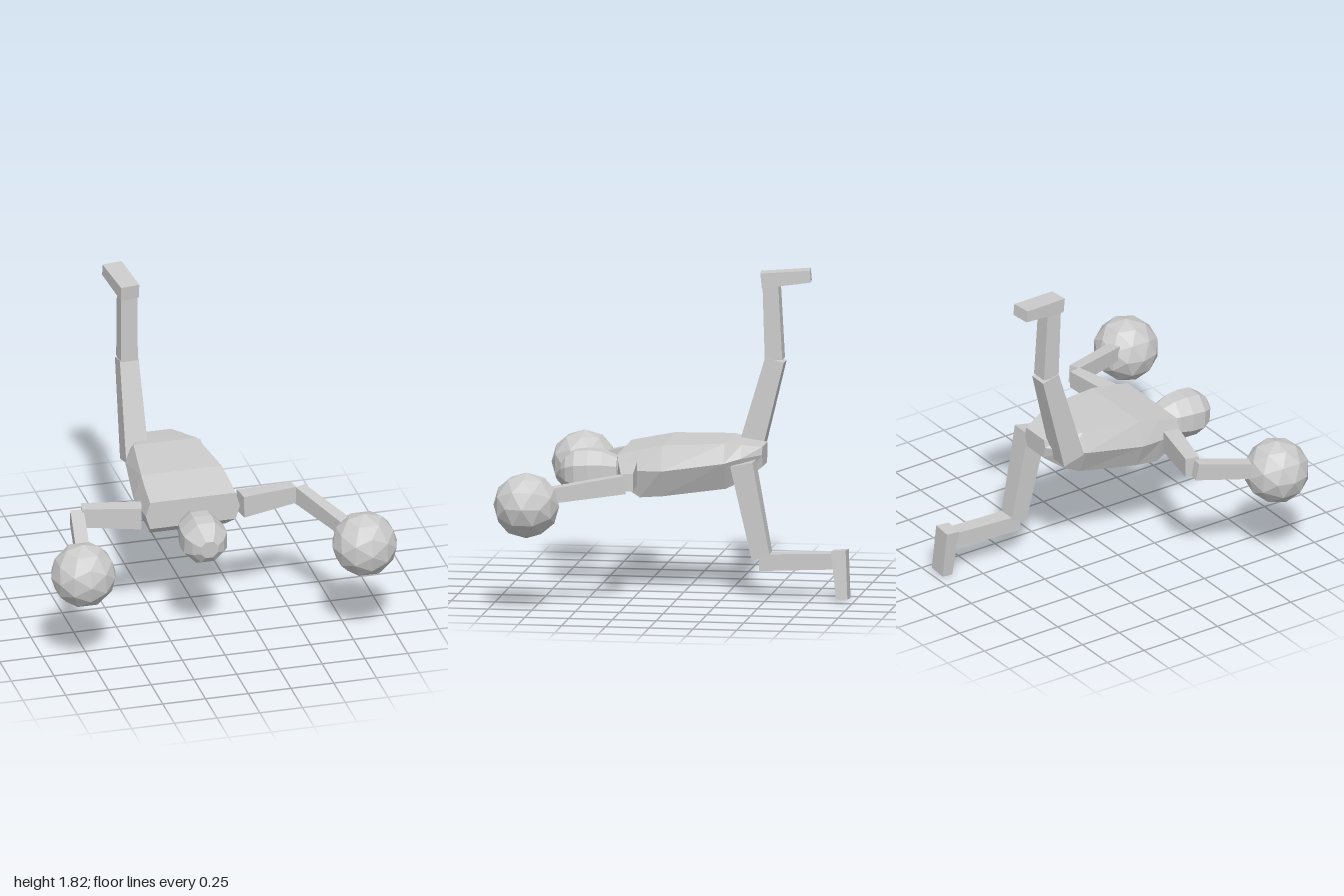
import * as THREE from 'three';

const material = new THREE.MeshStandardMaterial({ color: 0xcccccc, flatShading: true });
const X = [1, 0, 0], Y = [0, 1, 0];

function part(group, name, geometry, position = [0, 0, 0]) {
  const mesh = new THREE.Mesh(geometry, material);
  mesh.name = name;
  mesh.position.set(...position);
  group.add(mesh);
  return mesh;
}

// Tapered box from a to b; each size is [along the side direction, across it]
function limb(group, name, a, b, sizeA, sizeB, sideDir) {
  const start = new THREE.Vector3(...a), end = new THREE.Vector3(...b);
  const axis = end.clone().sub(start);
  const dir = axis.clone().normalize();
  const side = new THREE.Vector3(...sideDir);
  side.addScaledVector(dir, -side.dot(dir)).normalize();
  const across = new THREE.Vector3().crossVectors(side, dir);
  const geometry = new THREE.BoxGeometry(1, 1, 1);
  const p = geometry.attributes.position;
  for (let i = 0; i < p.count; i++) {
    const t = p.getY(i) + 0.5;
    const size = t < 0.5 ? sizeA : sizeB;
    const v = start.clone().addScaledVector(axis, t)
      .addScaledVector(side, p.getX(i) * size[0])
      .addScaledVector(across, p.getZ(i) * size[1]);
    p.setXYZ(i, v.x, v.y, v.z);
  }
  geometry.computeVertexNormals();
  return part(group, name, geometry);
}

// Hexagonal cross-sections joined from the shoulders back to the hips
function torsoGeometry() {
  // z, then y and half width of the top, middle and bottom
  const sections = [
    [0.35, 0.81, 0.25, 0.725, 0.275, 0.645, 0.25],
    [0.23, 0.835, 0.245, 0.72, 0.277, 0.56, 0.22],
    [0.10, 0.862, 0.235, 0.72, 0.28, 0.568, 0.21],
    [-0.25, 0.875, 0.185, 0.765, 0.232, 0.61, 0.15],
    [-0.34, 0.862, 0.14, 0.79, 0.2, 0.65, 0.13],
    [-0.45, 0.845, 0.09, 0.8, 0.1, 0.73, 0.08],
  ];
  const points = [], index = [], n = 6;
  for (const [z, ty, tw, my, mw, by, bw] of sections) {
    points.push(tw, ty, z, -tw, ty, z, -mw, my, z, -bw, by, z, bw, by, z, mw, my, z);
  }
  for (let s = 0; s < sections.length - 1; s++) {
    for (let j = 0; j < n; j++) {
      const a = s * n + j, b = s * n + (j + 1) % n;
      index.push(a, b + n, b, a, a + n, b + n);
    }
  }
  const last = (sections.length - 1) * n;
  for (let j = 1; j < n - 1; j++) {
    index.push(0, j, j + 1, last, last + j + 1, last + j);
  }
  const geometry = new THREE.BufferGeometry();
  geometry.setAttribute('position', new THREE.Float32BufferAttribute(points, 3));
  geometry.setIndex(index);
  geometry.computeVertexNormals();
  return geometry;
}

export function createModel() {
  const model = new THREE.Group();
  model.name = 'figure';

  part(model, 'torso', torsoGeometry(), [-0.08, 0, 0]);

  // Neck and eight-sided head, facing forward
  limb(model, 'neck', [-0.08, 0.68, 0.33], [-0.08, 0.67, 0.41], [0.08, 0.08], [0.06, 0.06], X);
  const profile = [[0, 0], [0.085, 0], [0.125, 0.08], [0.138, 0.16], [0.135, 0.24], [0.1, 0.295], [0.055, 0.325], [0, 0.325]];
  const headGeometry = new THREE.LatheGeometry(profile.map(([r, h]) => new THREE.Vector2(r, h)), 8, Math.PI / 8);
  headGeometry.rotateX(Math.PI / 2);
  part(model, 'head', headGeometry, [-0.08, 0.675, 0.385]).rotation.x = 0.06;

  // Arms ending in round gloves
  limb(model, 'rightUpperArm', [-0.365, 0.705, 0.285], [-0.695, 0.71, 0.205], [0.13, 0.095], [0.115, 0.08], Y);
  limb(model, 'rightForearm', [-0.72, 0.705, 0.205], [-0.78, 0.625, 0.57], [0.1, 0.075], [0.09, 0.08], Y);
  limb(model, 'leftUpperArm', [0.215, 0.705, 0.288], [0.54, 0.71, 0.24], [0.13, 0.105], [0.1, 0.07], Y);
  limb(model, 'leftForearm', [0.57, 0.705, 0.255], [0.735, 0.66, 0.64], [0.105, 0.065], [0.085, 0.075], Y);
  for (const [name, center] of [['rightGlove', [-0.815, 0.592, 0.698]], ['leftGlove', [0.81, 0.61, 0.772]]]) {
    part(model, name, new THREE.IcosahedronGeometry(0.188, 1), center);
  }

  // Right leg, kicked straight up
  limb(model, 'rightThigh', [-0.235, 0.74, -0.335], [-0.24, 1.31, -0.488], [0.135, 0.14], [0.11, 0.11], X);
  limb(model, 'rightShin', [-0.24, 1.31, -0.482], [-0.245, 1.74, -0.463], [0.1, 0.1], [0.095, 0.09], X);
  limb(model, 'rightFoot', [-0.243, 1.76, -0.405], [-0.275, 1.787, -0.682], [0.11, 0.085], [0.115, 0.068], X);

  // Left leg, bent down and back
  limb(model, 'leftThigh', [0.105, 0.765, -0.355], [0.11, 0.232, -0.465], [0.13, 0.13], [0.105, 0.105], X);
  limb(model, 'leftShin', [0.11, 0.207, -0.455], [0.115, 0.224, -0.885], [0.1, 0.095], [0.09, 0.09], X);
  limb(model, 'leftFoot', [0.12, 0.285, -0.91], [0.143, 0.008, -0.934], [0.11, 0.085], [0.11, 0.065], X);

  return model;
}
